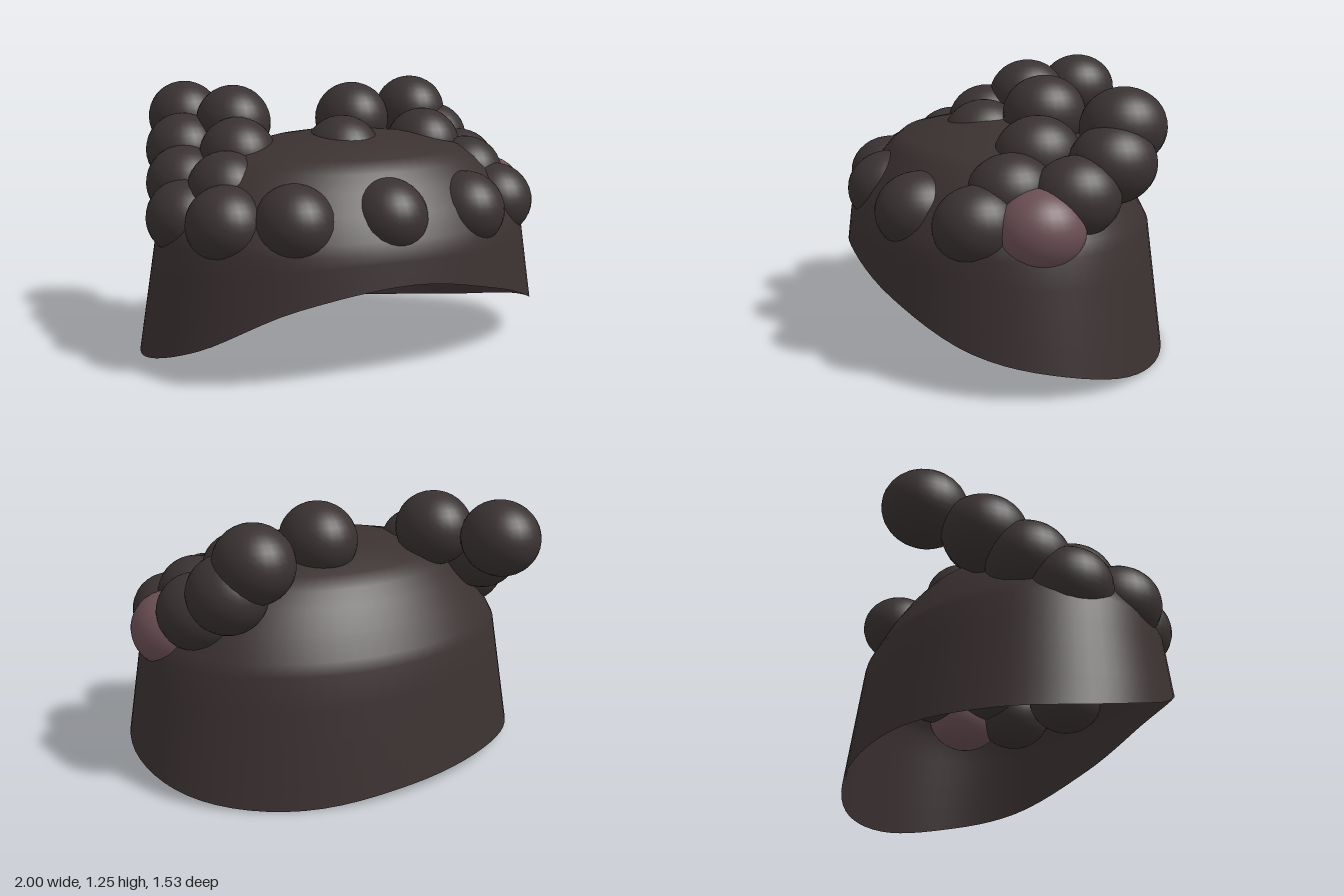
import * as THREE from 'three';

const mat = (name, color, side = THREE.FrontSide) => {
  const m = new THREE.MeshStandardMaterial({ color, side });
  m.name = name;
  return m;
};

// Hollow cap: elliptical rings stacked from a wavy open rim to the crown.
function capGeometry() {
  const N = 72;
  // rim height every 30 degrees, from the left (+x) round by the front
  const rim = new THREE.CatmullRomCurve3(
    [0.115, 0.205, 0.36, 0.46, 0.38, 0.17, 0.055, 0.04, 0.06, 0.04, 0.003, 0.03]
      .map((y, i) => new THREE.Vector3(i, y, 0)), true, 'catmullrom', 0.5);
  // [half width, front z, back z, height]; no height means the wavy rim
  const rings = [
    [1, 0.762, -0.726, null],
    [0.915, 0.745, -0.65, 0.6],
    [0.89, 0.725, -0.625, 0.65],
    [0.84, 0.675, -0.57, 0.75],
    [0.75, 0.6, -0.505, 0.85],
    [0.67, 0.545, -0.45, 0.92],
    [0.58, 0.49, -0.39, 0.97],
    [0.35, 0.3, -0.22, 1.025],
    [0.17, 0.17, -0.1, 1.048],
    [0.001, 0.036, 0.034, 1.055],
  ];
  const pos = [], idx = [];
  const addRow = (w, f, b, height) => {
    for (let j = 0; j < N; j++) {
      const a = (j / N) * Math.PI * 2;
      pos.push(w * Math.cos(a), height(j / N), (f + b) / 2 + (f - b) / 2 * Math.sin(a));
    }
  };
  // wall, in a few even steps from rim to shoulder
  const [low, high] = rings;
  for (let s = 0; s < 4; s++) {
    const k = s / 4, mix = (i) => THREE.MathUtils.lerp(low[i], high[i], k);
    addRow(mix(0), mix(1), mix(2), (t) => THREE.MathUtils.lerp(rim.getPoint(t).y, high[3], k));
  }
  // dome
  rings.slice(1).forEach(([w, f, b, y]) => addRow(w, f, b, () => y));
  const rows = pos.length / 3 / N;
  for (let i = 0; i < rows - 1; i++) {
    for (let j = 0; j < N; j++) {
      const a = i * N + j, b = i * N + (j + 1) % N;
      idx.push(a, a + N, b, b, a + N, b + N);
    }
  }
  const g = new THREE.BufferGeometry();
  g.setAttribute('position', new THREE.Float32BufferAttribute(pos, 3));
  g.setIndex(idx);
  g.computeVertexNormals();
  return g;
}

export function createModel() {
  const model = new THREE.Group();
  model.name = 'beadedCap';
  const shellMat = mat('dark brown shell', 0x3b3131, THREE.DoubleSide);
  const beadMat = mat('dark bead', 0x3a3232);
  const pinkMat = mat('dusty pink bead', 0x6b4f55);

  const cap = new THREE.Mesh(capGeometry(), shellMat);
  cap.name = 'capShell';
  model.add(cap);

  // Slightly flattened beads, half sunk into the cap, row by row
  const ball = new THREE.SphereGeometry(1, 28, 18);
  const addBead = (name, material, [x, y, z]) => {
    const bead = new THREE.Mesh(ball, material);
    bead.name = name;
    bead.position.set(x, y, z);
    bead.scale.set(0.178, 0.177, 0.197);
    model.add(bead);
  };
  const rows = {
    topBead: [[-0.59, 1.08, -0.57], [-0.45, 1.08, -0.245], [0.14, 1.08, -0.15], [0.59, 1.08, -0.37]],
    upperBead: [[-0.68, 0.95, -0.32], [-0.505, 0.95, -0.04], [-0.03, 0.95, 0.1], [0.47, 0.95, -0.015], [0.68, 0.94, -0.29]],
    middleBead: [[-0.735, 0.82, -0.14], [-0.62, 0.82, 0.12], [0.62, 0.82, 0.15], [0.74, 0.82, -0.105]],
    lowerBead: [[-0.79, 0.69, 0.03], [-0.695, 0.7, 0.31], [-0.445, 0.715, 0.49], [-0.035, 0.725, 0.565], [0.4, 0.715, 0.51], [0.685, 0.705, 0.315]],
  };
  for (const [name, spots] of Object.entries(rows)) {
    spots.forEach((p, i) => addBead(name + (i + 1), beadMat, p));
  }
  addBead('pinkBead', pinkMat, [0.795, 0.7, 0.07]);

  return model;
}
